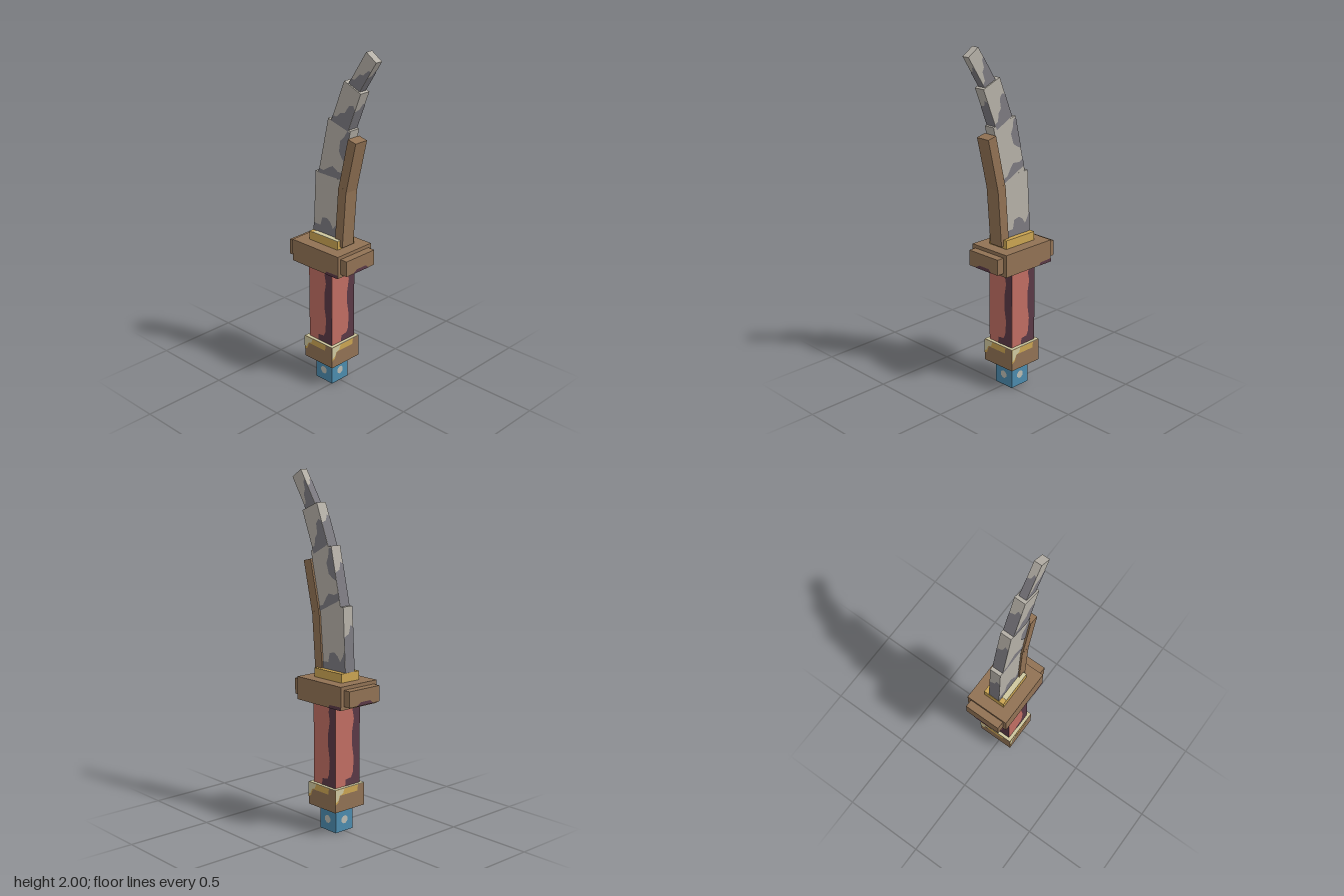
import * as THREE from 'three';

const mat = (name, color) => Object.assign(new THREE.MeshStandardMaterial({ color }), { name });

export function createModel() {
  const steel = mat('steel', 0xb5b0a7), darkSteel = mat('darkSteel', 0x7c7a80);
  const wood = mat('wood', 0x917254), gold = mat('gold', 0xcaa452), paleGold = mat('paleGold', 0xcfc8a0);
  const red = mat('redGrip', 0xc06d62), plum = mat('plumShade', 0x5a3946);
  const blue = mat('blueGem', 0x4c8bad), dot = mat('gemDot', 0xbcbcb2);

  const model = new THREE.Group();
  model.name = 'shortSword';
  const cx = -0.06; // axis of the handle

  function box(parent, name, material, w, h, d, x, y, z = 0) {
    const mesh = new THREE.Mesh(new THREE.BoxGeometry(w, h, d), material);
    mesh.name = name;
    mesh.position.set(x, y, z);
    parent.add(mesh);
    return mesh;
  }

  // Flat painted patch on the sides of a box, turned about its upright axis.
  function paint(parent, name, material, points, dist, angles, x = 0, y = 0) {
    const shape = new THREE.Shape(points.map(p => new THREE.Vector2(...p)));
    const geo = new THREE.ShapeGeometry(shape).translate(0, 0, dist + 0.002);
    for (const angle of angles) {
      const mesh = new THREE.Mesh(geo, material);
      mesh.name = name;
      mesh.position.set(x, y, 0);
      mesh.rotation.y = angle;
      parent.add(mesh);
    }
  }
  const four = [0, 1, 2, 3].map(k => k * Math.PI / 2);
  const frontBack = [0, Math.PI], ends = [Math.PI / 2, -Math.PI / 2];

  // Pommel gem with a dot on each side and beneath
  box(model, 'pommel', blue, 0.13, 0.14, 0.13, cx, 0.07);
  const octagon = [...Array(8)].map((_, i) => {
    const a = (i + 0.5) * Math.PI / 4;
    return [0.024 * Math.cos(a), 0.024 * Math.sin(a)];
  });
  paint(model, 'pommelDot', dot, octagon, 0.065, four, cx, 0.067);
  const under = new THREE.Mesh(new THREE.CircleGeometry(0.024, 8).rotateX(Math.PI / 2), dot);
  under.name = 'pommelBottomDot';
  under.position.set(cx, -0.001, 0);
  model.add(under);

  // Collar with a worn gold rim
  box(model, 'collar', wood, 0.22, 0.13, 0.22, cx, 0.205);
  paint(model, 'collarRim', gold,
    [[-0.11, 0.185], [-0.09, 0.195], [-0.075, 0.235], [0.055, 0.235], [0.06, 0.27], [-0.11, 0.27]], 0.11, four, cx);
  paint(model, 'collarShine', paleGold,
    [[-0.11, 0.2], [-0.09, 0.21], [-0.08, 0.235], [-0.055, 0.245], [-0.045, 0.27], [-0.11, 0.27]], 0.112, four, cx);
  box(model, 'collarTop', paleGold, 0.22, 0.003, 0.22, cx, 0.271);

  // Grip with a dark strip down the right of each side
  box(model, 'grip', red, 0.18, 0.47, 0.18, cx, 0.505);
  paint(model, 'gripShade', plum,
    [[-0.02, 0.27], [0.09, 0.27], [0.09, 0.74], [0.045, 0.74], [0.035, 0.7], [0.045, 0.65], [0.032, 0.58],
      [0.032, 0.5], [0.045, 0.42], [0.038, 0.34], [0.025, 0.315], [-0.015, 0.31]], 0.09, four, cx);

  // Guard
  box(model, 'guard', wood, 0.355, 0.13, 0.266, cx, 0.805);
  box(model, 'guardEnds', wood, 0.445, 0.09, 0.222, cx, 0.805);
  paint(model, 'guardStain', plum, [[0.08, 0.74], [0.177, 0.74], [0.177, 0.76], [0.09, 0.757]], 0.133, frontBack, cx);
  paint(model, 'guardEndStain', plum, [[-0.065, 0.76], [0.065, 0.76], [0.04, 0.78], [-0.03, 0.78]], 0.2225, ends, cx);

  // Gold plate at the foot of the blade
  box(model, 'bladePlate', gold, 0.22, 0.05, 0.132, cx, 0.895);
  box(model, 'bladePlateShine', paleGold, 0.19, 0.003, 0.036, cx + 0.015, 0.921, 0.048);

  // Leaning bar placed by its lower left corner
  function bar(name, material, x, y, w, h, d, degrees) {
    const group = new THREE.Group();
    group.name = name;
    group.position.set(x, y, 0);
    group.rotation.z = -degrees * Math.PI / 180;
    box(group, name + 'Body', material, w, h, d, w / 2, h / 2);
    model.add(group);
    return group;
  }

  // Blade in four leaning steps: x, y, width, length, depth, lean, stains as fractions of the face
  const blades = [
    [-0.168, 0.89, 0.185, 0.39, 0.067, 3,
      [[[-0.5, 0], [0.5, 0], [0.5, 0.4], [0.42, 0.3], [0.3, 0.22], [0.2, 0.3], [0.05, 0.35], [-0.15, 0.33], [-0.22, 0.2], [-0.5, 0.2]]]],
    [-0.128, 1.264, 0.168, 0.345, 0.066, 13,
      [[[-0.5, 0.03], [0.5, 0.14], [0.5, 0.26], [0.3, 0.24], [0.05, 0.28], [-0.1, 0.22], [-0.3, 0.12], [-0.5, 0.11]],
        [[0.5, 0.45], [0.5, 0.97], [0.38, 0.97], [0.3, 0.85], [0.17, 0.76], [0.2, 0.58], [0.35, 0.5]]]],
    [-0.035, 1.575, 0.127, 0.27, 0.065, 22,
      [[[-0.5, 0.07], [0.5, 0.12], [0.5, 0.62], [0.35, 0.68], [0.15, 0.62], [0.05, 0.42], [-0.15, 0.36], [-0.3, 0.22], [-0.5, 0.2]]]],
    [0.073, 1.79, 0.082, 0.25, 0.044, 33,
      [[[-0.5, 0.1], [0.5, 0.1], [0.5, 0.75], [0.3, 0.72], [0.15, 0.55], [-0.1, 0.5], [-0.25, 0.3], [-0.5, 0.26]]]],
  ];
  blades.forEach(([x, y, w, h, d, lean, stains], i) => {
    const blade = bar('blade' + (i + 1), steel, x, y, w, h, d, lean);
    for (const stain of stains)
      paint(blade, 'bladeStain', darkSteel, stain.map(([u, v]) => [u * w, v * h]), d / 2, frontBack, w / 2);
    // Stains on the narrow edges
    const edge = [[-0.5, 0.02], [0.5, 0.02], [0.5, 0.7], [0.2, 0.74], [0, 0.62], [-0.5, 0.58]];
    paint(blade, 'edgeStain', darkSteel, edge.map(([u, v]) => [u * d, v * h]), w / 2, ends, w / 2);
  });

  // Wooden spine behind the blade
  bar('lowerSpine', wood, 0.008, 0.885, 0.058, 0.35, 0.088, 4.5);
  bar('upperSpine', wood, 0.035, 1.222, 0.058, 0.305, 0.087, 13.3);

  return model;
}
